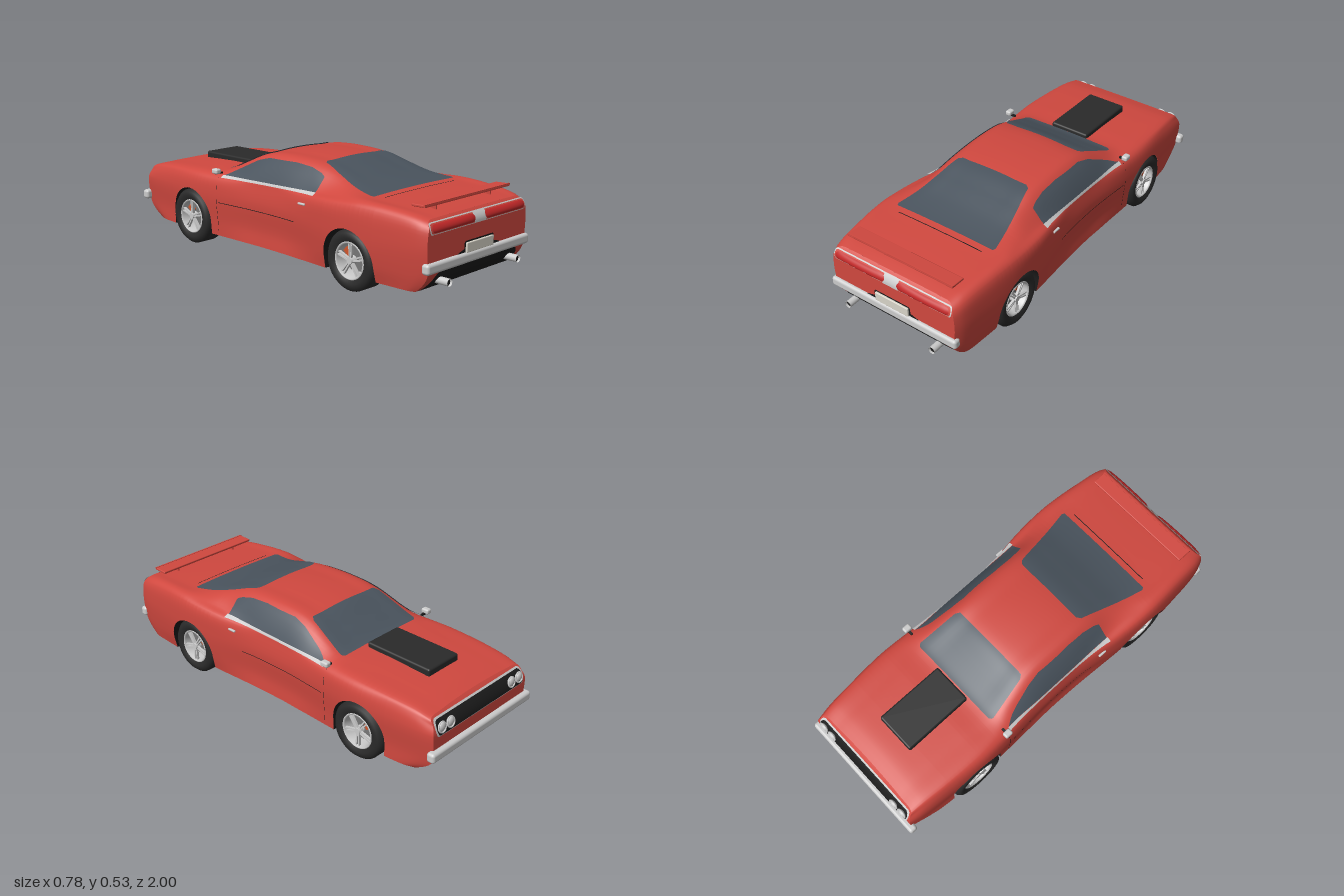
import * as THREE from 'three';
import { RoundedBoxGeometry } from 'three/addons/geometries/RoundedBoxGeometry.js';

const mat = (color) => new THREE.MeshStandardMaterial({ color, side: THREE.DoubleSide });
const red = mat(0xd0483f), black = mat(0x1c1c1c), rubber = mat(0x2a2a2a), glass = mat(0x4a545e);
const chrome = mat(0xcccccc), lampRed = mat(0xc02828), cream = mat(0xd8d4c8), white = mat(0xf0f0f0), orange = mat(0xd0552c);

// Body stations: z, sill x, widest x, shoulder y, shoulder x, roof edge x, roof edge y, crown y
const STATIONS = [
  [-.97, .325, .335, .345, .315, .22, .355, .36], [-.90, .34, .348, .362, .32, .22, .372, .378],
  [-.75, .35, .36, .372, .33, .22, .383, .388], [-.55, .355, .372, .38, .335, .23, .392, .398],
  [-.39, .352, .366, .383, .325, .26, .398, .405], [-.28, .348, .358, .383, .325, .255, .44, .45],
  [-.17, .345, .35, .385, .328, .245, .485, .503], [-.07, .342, .347, .388, .328, .24, .505, .52],
  [.1, .345, .35, .393, .328, .24, .508, .525], [.25, .352, .366, .40, .325, .235, .498, .513],
  [.36, .358, .38, .408, .322, .235, .47, .482], [.48, .362, .389, .414, .335, .25, .437, .446],
  [.6, .36, .39, .418, .348, .275, .42, .425], [.8, .352, .375, .41, .337, .27, .41, .412],
  [.92, .345, .362, .398, .325, .26, .40, .402], [.96, .335, .348, .385, .315, .25, .39, .39],
];
const WHEELS = [-.575, .537], WY = .14, ARCH = .15, SILL = .075, HALF = 42;
const q2 = (v) => Math.max(0, v) ** 2;

// Smooth interpolation of the stations along z
function station(z) {
  const S = STATIONS, n = S.length;
  let k = 0;
  while (k < n - 2 && z > S[k + 1][0]) k++;
  const slope = (i, c) => {
    const a = S[Math.max(0, i - 1)], b = S[Math.min(n - 1, i + 1)];
    return (b[c] - a[c]) / (b[0] - a[0]);
  };
  const h = S[k + 1][0] - S[k][0], t = (z - S[k][0]) / h, t2 = t * t, t3 = t2 * t;
  return S[k].map((v, c) => (2 * t3 - 3 * t2 + 1) * v + (t3 - 2 * t2 + t) * h * slope(k, c)
    + (3 * t2 - 2 * t3) * S[k + 1][c] + (t3 - t2) * h * slope(k + 1, c));
}

// Half cross-section from the sill up to the centre line
const cache = new Map();
function section(z) {
  if (cache.has(z)) return cache.get(z);
  const [, wb, w, ys, xs, xr, yr, yc] = station(z);
  const half = [[wb, SILL], [w - .01, .15], [w, .28], [w - .012, ys - .025], [xs, ys], [xr, yr],
    [xr * .55, yr + .7 * (yc - yr)], [0, yc]];
  const all = [...half, ...half.slice(0, -1).reverse().map(([x, y]) => [-x, y])];
  const curve = new THREE.CatmullRomCurve3(all.map(([x, y]) => new THREE.Vector3(x, y, 0)));
  const pts = [];
  for (let i = 0; i <= HALF; i++) pts.push(curve.getPoint(i / HALF / 2));
  cache.set(z, pts);
  return pts;
}
function sideX(y, z) {
  const p = section(z);
  let i = 0;
  while (i < HALF - 1 && p[i + 1].y < y) i++;
  return THREE.MathUtils.lerp(p[i].x, p[i + 1].x, THREE.MathUtils.clamp((y - p[i].y) / (p[i + 1].y - p[i].y || 1), 0, 1));
}
function topY(x, z) {
  const p = section(z), ax = Math.abs(x);
  let i = HALF - 1;
  while (i > 0 && p[i].x < ax) i--;
  return THREE.MathUtils.lerp(p[i + 1].y, p[i].y, THREE.MathUtils.clamp((ax - p[i + 1].x) / (p[i].x - p[i + 1].x || 1), 0, 1));
}
// Nose and tail faces curve back above and below
const endZ = (s, y) => s > 0 ? .96 - .07 * q2((.18 - y) / .105) - .04 * q2((y - .34) / .06)
  : -(.975 - .1 * q2((.17 - y) / .095) - .05 * q2((y - .27) / .09));
function warpZ(z, y) {
  if (z > .7) return .7 + (z - .7) * (endZ(1, y) - .7) / .26;
  if (z < -.74) return -.74 + (z + .74) * (-endZ(-1, y) - .74) / .23;
  return z;
}
function sillY(z) {
  const c = WHEELS.find((w) => Math.abs(z - w) <= ARCH + 1e-6);
  return c === undefined ? SILL : WY + Math.sqrt(Math.max(0, ARCH ** 2 - (z - c) ** 2));
}

// Grid surface from a rule fn(i, j) -> [x, y, z]
function patch(ni, nj, fn) {
  const pos = [], idx = [];
  for (let j = 0; j <= nj; j++) for (let i = 0; i <= ni; i++) pos.push(...fn(i, j));
  for (let j = 0; j < nj; j++) for (let i = 0; i < ni; i++) {
    const a = j * (ni + 1) + i, c = a + ni + 1;
    idx.push(a, a + 1, c, a + 1, c + 1, c);
  }
  const g = new THREE.BufferGeometry();
  g.setAttribute('position', new THREE.Float32BufferAttribute(pos, 3));
  g.setIndex(idx);
  g.computeVertexNormals();
  return g;
}
// Piecewise linear lookup
function look(table, t) {
  let k = 0;
  while (k < table.length - 2 && t > table[k + 1][0]) k++;
  const [a, b] = [table[k], table[k + 1]];
  return a[1] + (b[1] - a[1]) * THREE.MathUtils.clamp((t - a[0]) / (b[0] - a[0]), 0, 1);
}

export function createModel() {
  const car = new THREE.Group();
  const add = (name, geo, m, x = 0, y = 0, z = 0, parent = car) => {
    const mesh = new THREE.Mesh(geo, m);
    mesh.name = name;
    mesh.position.set(x, y, z);
    parent.add(mesh);
    return mesh;
  };

  // Body shell with wheel openings
  const zs = [];
  for (let i = 0; i <= 72; i++) zs.push(-.97 + 1.93 * i / 72);
  for (const w of WHEELS) {
    for (let i = 0; i <= 24; i++) zs.push(w + ARCH * Math.cos(Math.PI * i / 24));
    zs.push(w - ARCH - .001, w + ARCH + .001);
  }
  zs.sort((a, b) => a - b);
  add('body', patch(2 * HALF, zs.length - 1, (i, j) => {
    const z = zs[j], s = i > HALF ? -1 : 1, p = section(z)[i > HALF ? 2 * HALF - i : i], yb = sillY(z);
    const y = Math.max(p.y, yb), x = p.y < yb ? sideX(yb, z) : p.x;
    return [s * x, y, warpZ(z, y)];
  }), red);
  for (const s of [1, -1]) add(s > 0 ? 'tailFace' : 'noseFace', patch(12, HALF, (i, j) => {
    const p = section(s > 0 ? .96 : -.97)[j];
    return [s * p.x * (i / 6 - 1), p.y, endZ(s, p.y)];
  }), red);
  add('underbody', patch(1, zs.length - 1, (i, j) => {
    const z = zs[j], x = sillY(z) > SILL ? .23 : section(z)[0].x;
    return [(i ? 1 : -1) * x, SILL, warpZ(z, SILL)];
  }), black);

  // Panels that hug the nose or tail face; hw(v) gives the half width up the panel
  const endPanel = (name, s, m, cx, y0, y1, hw, off, dome = 0) => add(name, patch(16, 14, (i, j) => {
    const u = i / 8 - 1, v = j / 14, y = y0 + (y1 - y0) * v;
    const bulge = dome * Math.sqrt((1 - u * u) * 4 * v * (1 - v));
    return [cx + s * u * hw(v), y, endZ(s, y) + s * (off + bulge)];
  }), m);
  const round = (w, r) => (v) => w - r + r * Math.sqrt(Math.max(0, 1 - (2 * v - 1) ** 2));

  // Tail
  endPanel('rearValance', 1, black, 0, SILL, .165, (v) => look([[0, .315], [.75, .29], [.93, .278], [1, .255]], v), .003);
  endPanel('tailPanelFrame', 1, chrome, 0, .33, .381, round(.335, .012), .003);
  endPanel('tailPanel', 1, red, 0, .334, .377, round(.33, .012), .005);
  endPanel('tailPanelCentre', 1, chrome, 0, .332, .38, () => .042, .007);
  for (const s of [1, -1]) endPanel('tailLight', 1, lampRed, s * .179, .338, .373, round(.144, .02), .007, .008);
  endPanel('plateRecess', 1, black, 0, .2, .263, (v) => look([[0, .17], [.3, .14], [.45, .103], [.9, .103], [1, .095]], v), .003);
  add('numberPlate', new RoundedBoxGeometry(.19, .046, .012, 2, .004), cream, 0, .233, .966);
  add('rearBumper', new RoundedBoxGeometry(.72, .048, .04, 4, .014), chrome, 0, .189, .957);

  // Nose
  endPanel('frontValance', -1, black, 0, SILL, .12, (v) => look([[0, .31], [.7, .29], [1, .26]], v), .003);
  endPanel('grilleFrame', -1, chrome, 0, .268, .346, round(.318, .02), .003);
  endPanel('grille', -1, black, 0, .274, .34, round(.311, .02), .006);
  add('frontBumper', new RoundedBoxGeometry(.72, .048, .042, 4, .014), chrome, 0, .187, -.979);

  // Windscreen and rear window follow the roof surface
  const screen = (name, z0, z1, widths) => add(name, patch(20, 26, (i, j) => {
    const z = z0 + (z1 - z0) * j / 26, x = look(widths, z) * (1 - i / 10);
    return [x, topY(x, z) + .005, z];
  }), glass);
  screen('windscreen', -.392, -.155, [[-.392, .24], [-.38, .257], [-.175, .225], [-.155, .21]]);
  screen('rearWindow', .225, .6, [[.225, .185], [.24, .205], [.59, .282], [.6, .275]]);

  // Strip lying on the body side between two heights
  const sideStrip = (name, s, m, z0, z1, lo, hi, off) => add(name, patch(6, 40, (i, j) => {
    const z = z0 + (z1 - z0) * j / 40, a = lo(z), y = a + (hi(z) - a) * i / 6;
    return [s * (sideX(y, z) + off), y + off * .5, z];
  }), m);
  const belt = (z) => .378 + (z + .345) * .028;
  const glassTop = [[-.345, .38], [-.29, .41], [-.16, .475], [-.09, .494], [.1, .499], [.2, .492], [.27, .475], [.295, .462]];

  for (const s of [1, -1]) {
    sideStrip('sideWindow', s, glass, -.345, .295, (z) => belt(z) + .003, (z) => Math.max(belt(z) + .004, look(glassTop, z)), .004);
    sideStrip('windowTrim', s, chrome, -.35, .3, (z) => belt(z) - .008, (z) => belt(z) + .004, .006);
    sideStrip('sideCrease', s, black, -.355, .18, () => .246, () => .249, .002);
    sideStrip('doorSeam', s, black, -.3705, -.3685, () => .1, () => .37, .002);
    add('doorHandle', new RoundedBoxGeometry(.012, .01, .045, 2, .004), chrome, s * (sideX(.345, .24) + .004), .345, .24);
    // Door mirror
    add('mirrorStalk', new THREE.BoxGeometry(.04, .008, .012), black, s * .34, .392, -.375);
    add('mirror', new RoundedBoxGeometry(.032, .026, .042, 3, .009), chrome, s * .356, .403, -.375);
    // Exhaust
    const pipe = add('exhaust', new THREE.CylinderGeometry(.017, .017, .09, 20, 1, true), chrome, s * .245, .12, .955);
    const core = add('exhaustInside', new THREE.CircleGeometry(.016, 20), black, s * .245, .12, .99);
    pipe.rotation.x = Math.PI / 2;
    core.rotation.y = 0;
    // Paired headlights
    for (const x of [.222, .28]) {
      const z = endZ(-1, .308);
      const rim = add('headlightRim', new THREE.TorusGeometry(.024, .004, 8, 24), chrome, s * x, .308, z - .01);
      const lens = add('headlight', new THREE.SphereGeometry(.024, 20, 12), white, s * x, .308, z - .006);
      lens.scale.z = .55;
      rim.rotation.x = .25;
    }
    add('spoilerStrut', new THREE.BoxGeometry(.006, .034, .03), red, s * .19, .418, .86);
  }

  // Spoiler, bonnet scoop and boot seam
  add('spoiler', new RoundedBoxGeometry(.595, .012, .075, 2, .004), red, 0, .434, .865).rotation.x = -.04;
  add('spoilerLip', new THREE.BoxGeometry(.595, .012, .008), red, 0, .437, .898);
  add('bonnetScoop', new RoundedBoxGeometry(.21, .045, .36, 3, .01), rubber, 0, .399, -.58).rotation.x = -.01;
  add('bootSeam', patch(20, 1, (i, j) => {
    const x = .24 * (1 - i / 10), z = .63 + .004 * j;
    return [x, topY(x, z) + .002, z];
  }), black);

  // Wheels and wheel wells
  const tyreProfile = [[.084, -.05], [.105, -.061], [.126, -.058], [.14, -.042], [.14, -.022], [.135, -.021], [.135, -.017],
    [.14, -.016], [.14, -.002], [.135, -.001], [.135, .003], [.14, .004], [.14, .016], [.135, .017], [.135, .021], [.14, .022],
    [.14, .042], [.126, .058], [.105, .061], [.084, .05]].map(([r, h]) => new THREE.Vector2(r, h));
  const rimProfile = [[.07, -.045], [.074, .02], [.077, .048], [.082, .056], [.087, .052]].map(([r, h]) => new THREE.Vector2(r, h));
  for (const wz of WHEELS) for (const s of [1, -1]) {
    add('wheelWell', patch(26, 1, (i, j) => {
      const a = Math.PI * (i - 1) / 24, end = i === 0 || i === 26;
      const z = wz + ARCH * Math.cos(THREE.MathUtils.clamp(a, 0, Math.PI)), y = end ? SILL : WY + ARCH * Math.sin(a);
      return [s * (j ? sideX(y, z) - .001 : .23), y, z];
    }), black);
    add('wheelWellWall', patch(24, 1, (i, j) => {
      const a = Math.PI * i / 24;
      return [s * .23, j ? WY + ARCH * Math.sin(a) : SILL, wz + ARCH * Math.cos(a)];
    }), black);
    const wheel = new THREE.Group();
    wheel.name = 'wheel';
    wheel.position.set(s * .311, WY, wz);
    wheel.rotation.z = -s * Math.PI / 2;
    car.add(wheel);
    add('tyre', new THREE.LatheGeometry(tyreProfile, 48), rubber, 0, 0, 0, wheel);
    add('rim', new THREE.LatheGeometry(rimProfile, 40), chrome, 0, 0, 0, wheel);
    add('wheelBack', new THREE.CylinderGeometry(.084, .084, .01, 32), black, 0, -.04, 0, wheel);
    add('brakeDisc', new THREE.CylinderGeometry(.058, .058, .01, 32), mat(0x777777), 0, .005, 0, wheel);
    add('brakeCaliper', new THREE.BoxGeometry(.026, .02, .036), orange, -s * .03, .016, -.038, wheel).rotation.y = s * .7;
    add('hub', new THREE.CylinderGeometry(.015, .02, .03, 20), chrome, 0, .038, 0, wheel);
    for (let k = 0; k < 5; k++) {
      const spoke = new THREE.Group();
      spoke.name = 'spoke';
      spoke.rotation.y = k * Math.PI * 2 / 5;
      wheel.add(spoke);
      for (const d of [1, -1]) add('spokeBar', new THREE.BoxGeometry(.066, .012, .007), chrome, .045, .042, d * .006, spoke).rotation.y = -d * .06;
    }
  }
  return car;
}
